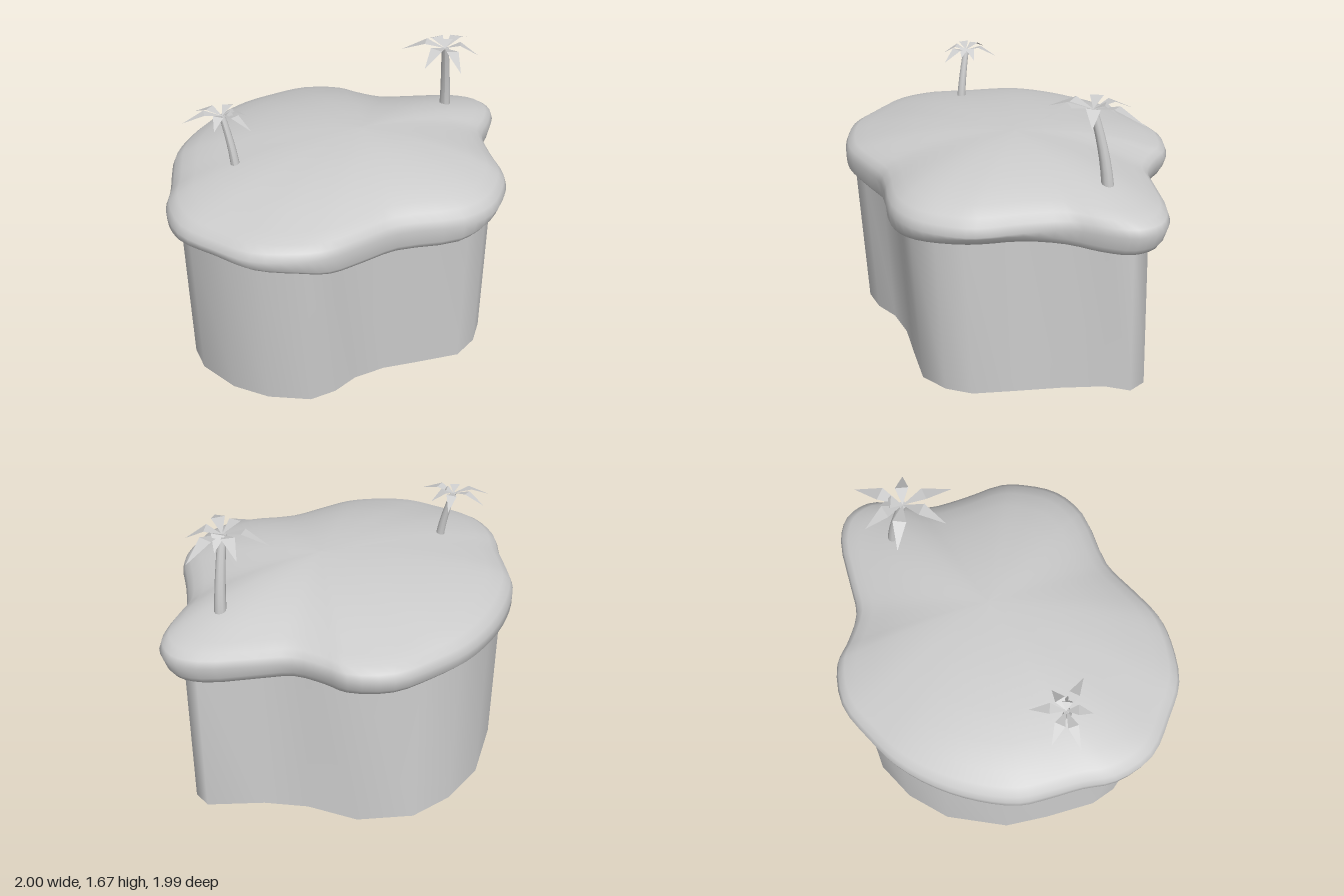
import * as THREE from 'three';

const grey = new THREE.MeshStandardMaterial({ color: 0xcccccc, side: THREE.DoubleSide });
const flatGrey = new THREE.MeshStandardMaterial({ color: 0xcccccc, side: THREE.DoubleSide, flatShading: true });

// Island outline: x, z, and height of the cap's lower lip
const OUTLINE = [
  [0.995, 0, 0.99], [0.99, 0.15, 0.98], [0.93, 0.35, 0.96], [0.78, 0.5, 0.93], [0.43, 0.63, 0.92],
  [0.25, 0.78, 0.92], [0.09, 0.91, 0.925], [-0.07, 0.97, 0.95], [-0.32, 0.995, 0.965], [-0.53, 0.92, 0.975],
  [-0.76, 0.8, 0.965], [-0.89, 0.59, 0.95], [-0.92, 0.4, 0.94], [-0.97, 0.2, 0.935], [-1, 0.04, 0.935],
  [-0.97, -0.19, 0.94], [-0.89, -0.43, 0.95], [-0.76, -0.65, 0.95], [-0.61, -0.8, 0.95], [-0.4, -0.96, 0.95],
  [-0.15, -0.995, 0.95], [-0.02, -0.94, 0.95], [0.16, -0.89, 0.95], [0.35, -0.93, 0.945], [0.65, -0.995, 0.935],
  [0.81, -0.96, 0.93], [0.895, -0.84, 0.93], [0.89, -0.67, 0.935], [0.85, -0.48, 0.945], [0.91, -0.24, 0.98],
];
const outline = new THREE.CatmullRomCurve3(OUTLINE.map(([x, z, low]) => new THREE.Vector3(x, low, z)), true);

// Foot of the cliff: x, z
const CLIFF = [
  [0.915, 0.04], [0.89, 0.2], [0.8, 0.35], [0.55, 0.46], [0.36, 0.54], [0.2, 0.65], [0.1, 0.78], [-0.03, 0.87],
  [-0.28, 0.885], [-0.5, 0.83], [-0.72, 0.69], [-0.81, 0.55], [-0.89, 0.24], [-0.94, -0.03], [-0.87, -0.42],
  [-0.72, -0.67], [-0.52, -0.85], [-0.2, -0.925], [0.1, -0.86], [0.36, -0.865], [0.69, -0.925], [0.775, -0.85],
  [0.755, -0.7], [0.8, -0.45], [0.86, -0.2],
];

// Closed skin over a stack of rings of equal point count
function loft(rings) {
  const n = rings[0].length, pos = rings.flat().flat(), idx = [];
  for (let j = 0; j < rings.length - 1; j++) {
    for (let i = 0; i < n; i++) {
      const a = j * n + i, b = j * n + (i + 1) % n;
      idx.push(a, b, a + n, b, b + n, a + n);
    }
  }
  const g = new THREE.BufferGeometry();
  g.setAttribute('position', new THREE.Float32BufferAttribute(pos, 3));
  g.setIndex(idx);
  g.computeVertexNormals();
  return g;
}

function mesh(name, geometry, material = grey) {
  const m = new THREE.Mesh(geometry, material);
  m.name = name;
  return m;
}

// Domed top with a rounded lip that rolls under, blunter at the front and left
function makeCap() {
  const pts = outline.getPoints(90).slice(0, 90);
  const blunt = (p) => Math.max(0, -p.x, p.z);
  const dome = [[0, 1.3], [0.2, 1.297], [0.4, 1.283], [0.58, 1.258], [0.74, 1.228], [0.86, 1.19], [0.94, 1.15], [0.982, 1.108]];
  const rings = dome.map(([f, h]) => pts.map((p) => {
    const x = p.x * f + 0.12 * (1 - f), z = p.z * f - 0.1 * (1 - f);
    return [x, h - 0.06 * z * z * Math.min(1, (1 - f) * 6), z];
  }));
  const lip = [[() => 1, (p) => 1.06], [(p) => 0.98 + 0.02 * blunt(p), (p) => p.y + 0.05],
    [() => 0.96, (p) => p.y + 0.012], [() => 0.92, (p) => p.y], [() => 0.86, (p) => p.y + 0.015]];
  lip.forEach(([f, y]) => rings.push(pts.map((p) => [p.x * f(p), y(p), p.z * f(p)])));
  return mesh('islandTop', loft(rings));
}

// Open cliff wall, leaning slightly to the back at its foot
function makeCliff() {
  const ring = (y, dz) => CLIFF.map(([x, z]) => [x, y, z + dz]);
  return mesh('cliffWall', loft([ring(1, 0.04), ring(0, 0)]));
}

// Tapered trunk that bends from base to top
function makeTrunk(base, top, r0, r1) {
  const h = top.y - base.y;
  const g = new THREE.CylinderGeometry(r1, r0, h, 10, 7);
  const p = g.attributes.position;
  for (let i = 0; i < p.count; i++) {
    const t = THREE.MathUtils.clamp(p.getY(i) / h + 0.5, 0, 1), k = Math.pow(t, 1.6);
    p.setXYZ(i, p.getX(i) + base.x + (top.x - base.x) * k, base.y + t * h, p.getZ(i) + base.z + (top.z - base.z) * k);
  }
  g.computeVertexNormals();
  return mesh('trunk', g);
}

// Flat pointed frond, rising to its widest part and then drooping to the tip
function makeFrond(top, tipX, tipZ, s) {
  const dx = tipX - top.x, dz = tipZ - top.z, len = Math.hypot(dx, dz);
  const at = (t, y, w) => [top.x + dx * t - dz / len * w * s, top.y + y * s, top.z + dz * t + dx / len * w * s];
  const root = at(0, 0, 0), tip = at(1, -0.035, 0);
  const left = at(0.45, 0.036, 0.038), right = at(0.45, 0.03, -0.038);
  const g = new THREE.BufferGeometry();
  g.setAttribute('position', new THREE.Float32BufferAttribute([root, left, right, left, tip, right].flat(), 3));
  g.computeVertexNormals();
  return mesh('frond', g, flatGrey);
}

function makePalm(name, base, top, s, tips) {
  const palm = new THREE.Group();
  palm.name = name;
  palm.add(makeTrunk(base, top, 0.036 * s, 0.023 * s));
  tips.forEach(([x, z]) => palm.add(makeFrond(top, x, z, s)));
  return palm;
}

export function createModel() {
  const model = new THREE.Group();
  model.name = 'island';
  model.add(makeCliff(), makeCap());
  model.add(makePalm('tallPalm', new THREE.Vector3(0.592, 1.14, -0.66), new THREE.Vector3(0.575, 1.635, -0.56), 1,
    [[0.7, -0.835], [0.775, -0.565], [0.685, -0.29], [0.47, -0.32], [0.31, -0.59], [0.45, -0.77], [0.585, -0.7]]));
  model.add(makePalm('shortPalm', new THREE.Vector3(-0.54, 1.16, 0.322), new THREE.Vector3(-0.61, 1.525, 0.295), 0.78,
    [[-0.59, 0.1], [-0.485, 0.225], [-0.42, 0.4], [-0.62, 0.44], [-0.82, 0.365], [-0.79, 0.21], [-0.52, 0.31]]));
  return model;
}
